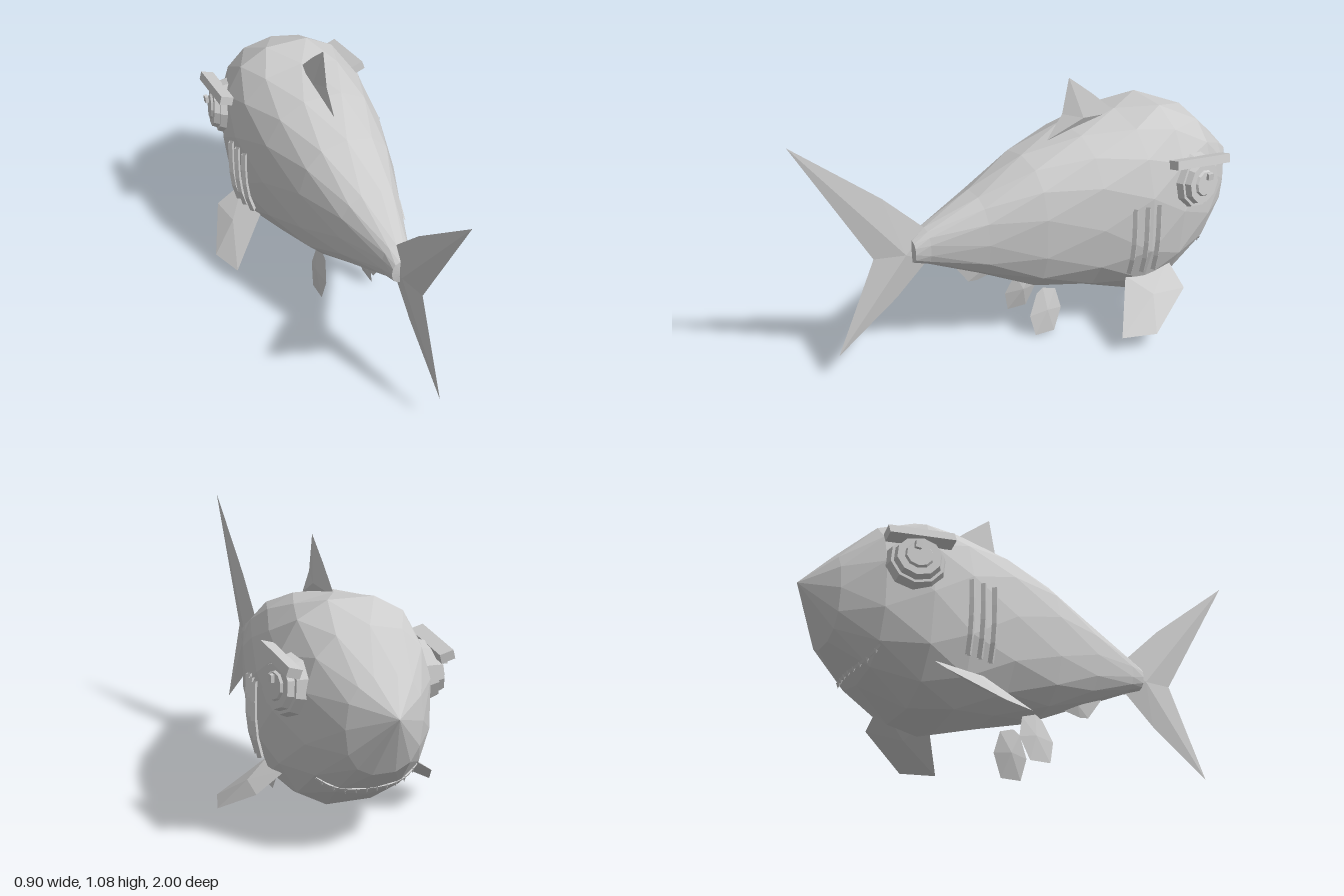
import * as THREE from 'three';

// Body stations: z, top y, bottom y, half width
const STATIONS = [
  [-1, 0.58, 0.58, 0], [-0.88, 0.705, 0.34, 0.15], [-0.74, 0.85, 0.215, 0.25],
  [-0.57, 0.92, 0.115, 0.305], [-0.41, 0.9, 0.095, 0.315], [-0.2, 0.865, 0.165, 0.275],
  [0.03, 0.795, 0.225, 0.215], [0.25, 0.685, 0.335, 0.138], [0.47, 0.59, 0.435, 0.06],
  [0.53, 0.555, 0.455, 0.047], [0.535, 0.5, 0.5, 0],
];
const POWER = 2.5;
const SIDES = 14;

function sectionAt(z) {
  let i = 0;
  while (i < STATIONS.length - 2 && STATIONS[i + 1][0] < z) i++;
  const a = STATIONS[i], b = STATIONS[i + 1], t = (z - a[0]) / (b[0] - a[0]);
  const [top, bottom, w] = [1, 2, 3].map((k) => a[k] + (b[k] - a[k]) * t);
  return { cy: (top + bottom) / 2, h: (top - bottom) / 2, w };
}
const other = (u) => Math.pow(Math.max(0, 1 - Math.pow(Math.abs(u), POWER)), 1 / POWER);
// Points on the flank and on the underside of the body
const flankX = (y, z) => { const s = sectionAt(z); return s.w * other((y - s.cy) / s.h); };
const bellyY = (x, z) => { const s = sectionAt(z); return s.cy - s.h * other(x / s.w); };

function geometryFrom(points) {
  const g = new THREE.BufferGeometry().setFromPoints(points);
  g.computeVertexNormals();
  return g;
}

// Faceted body: rings turned by half a step against each other
function bodyGeometry() {
  const curve = (v) => Math.sign(v) * Math.pow(Math.abs(v), 2 / POWER);
  const point = (i, j) => {
    const z = STATIONS[i][0], s = sectionAt(z);
    const a = ((j + 0.5 * (i % 2)) / SIDES) * Math.PI * 2 + Math.PI / 2;
    return new THREE.Vector3(s.w * curve(Math.cos(a)), s.cy + s.h * curve(Math.sin(a)), z);
  };
  const tris = [];
  for (let i = 0; i < STATIONS.length - 1; i++) {
    for (let j = 0; j < SIDES; j++) {
      const a = point(i, j), a1 = point(i, j + 1), b = point(i + 1, j), b1 = point(i + 1, j + 1);
      if (i % 2 === 0) tris.push(a, a1, b, a1, b1, b);
      else tris.push(a, a1, b1, a, b1, b);
    }
  }
  return geometryFrom(tris);
}

// Blade with sharp rim, thickest at its centre
function finGeometry(outline, centre, normal, thickness) {
  const pts = outline.map((p) => new THREE.Vector3(...p));
  const n = new THREE.Vector3(...normal).normalize().multiplyScalar(thickness);
  const c = new THREE.Vector3(...centre);
  const front = c.clone().add(n), back = c.clone().sub(n);
  const tris = [];
  pts.forEach((p, i) => {
    const q = pts[(i + 1) % pts.length];
    tris.push(front, p, q, back, q, p);
  });
  return geometryFrom(tris);
}

export function createModel() {
  const model = new THREE.Group();
  model.name = 'shark';
  const grey = new THREE.MeshStandardMaterial({ color: 0xcccccc, flatShading: true, side: THREE.DoubleSide });
  grey.name = 'light grey';

  const add = (parent, name, geometry) => {
    const mesh = new THREE.Mesh(geometry, grey);
    mesh.name = name;
    parent.add(mesh);
    return mesh;
  };
  // Fin on the centre line, outline given as z, y
  const middleFin = (name, outline, centre, thickness) => add(model, name, finGeometry(
    outline.map(([z, y]) => [0, y, z]), [0, centre[1], centre[0]], [1, 0, 0], thickness));

  add(model, 'body', bodyGeometry());
  middleFin('dorsalFin', [[-0.42, 0.88], [-0.3, 0.99], [-0.19, 1.08], [-0.16, 0.93], [-0.09, 0.83]], [-0.25, 0.9], 0.02);
  middleFin('tailFin', [[0.46, 0.58], [0.64, 0.76], [1, 1.06], [0.69, 0.51], [0.86, 0.12], [0.6, 0.31], [0.46, 0.44]],
    [0.56, 0.5], 0.02);
  middleFin('analFin', [[0.1, 0.31], [0.24, 0.28], [0.28, 0.285], [0.36, 0.4], [0.15, 0.36]], [0.22, 0.33], 0.015);

  // Everything that comes in pairs, built on +x and mirrored
  for (const side of [1, -1]) {
    const half = new THREE.Group();
    half.name = side > 0 ? 'leftSide' : 'rightSide';
    half.scale.x = side;
    model.add(half);

    add(half, 'pectoralFin', finGeometry(
      [[0.24, 0.27, -0.54], [0.36, 0.19, -0.545], [0.45, 0.075, -0.35], [0.405, 0.075, -0.21], [0.24, 0.25, -0.33]],
      [0.33, 0.18, -0.4], [0.7, 0.72, 0], 0.022));
    add(half, 'pelvicFin', finGeometry(
      [[0.09, 0.21, -0.02], [0.09, 0.19, -0.08], [0.105, 0.1, -0.1], [0.118, 0.005, -0.06],
        [0.118, 0.008, 0.03], [0.105, 0.1, 0.05], [0.09, 0.19, 0.01]],
      [0.1, 0.11, -0.03], [1, 0.12, 0], 0.015));

    // Eye: stacked discs facing outward and slightly forward
    const eye = new THREE.Group();
    eye.name = 'eye';
    eye.position.set(0.27, 0.63, -0.635);
    eye.quaternion.setFromUnitVectors(new THREE.Vector3(0, 1, 0), new THREE.Vector3(1, 0.12, -0.22).normalize());
    half.add(eye);
    [['eyeRim', 0.105, 0.122, 0.05, 0.005], ['eyeball', 0.085, 0.095, 0.03, 0.04], ['pupil', 0.05, 0.058, 0.012, 0.058]]
      .forEach(([name, top, bottom, height, y]) => {
        add(eye, name, new THREE.CylinderGeometry(top, bottom, height, 10)).position.y = y;
      });
    const glint = add(half, 'eyeGlint', new THREE.BoxGeometry(0.014, 0.028, 0.025));
    glint.position.set(0.34, 0.67, -0.66);

    // Brow slants down toward the snout
    const brow = add(half, 'brow', new THREE.BoxGeometry(0.055, 0.036, 0.27));
    brow.position.set(0.3, 0.728, -0.635);
    brow.rotation.set(-0.12, 0.03, 0.3);

    // Gill ridges hug the flank
    [-0.32, -0.373, -0.425].forEach((z) => {
      const path = new THREE.CatmullRomCurve3([0.59, 0.5, 0.43, 0.36, 0.29]
        .map((y) => new THREE.Vector3(flankX(y, z) + 0.012, y, z)));
      add(half, 'gill', new THREE.TubeGeometry(path, 4, 0.013, 4));
    });
  }

  // Mouth line under the snout with small teeth
  const lip = [];
  for (let i = -4; i <= 4; i++) {
    const x = i * 0.05, z = -0.78 + x * x * 1.2;
    lip.push(new THREE.Vector3(x, bellyY(x, z) + 0.004, z));
  }
  const mouthPath = new THREE.CatmullRomCurve3(lip);
  add(model, 'mouth', new THREE.TubeGeometry(mouthPath, 16, 0.007, 4));
  for (let i = 0; i < 10; i++) {
    const tooth = add(model, 'tooth', new THREE.ConeGeometry(0.009, 0.022, 4));
    tooth.position.copy(mouthPath.getPoint((i + 0.5) / 10));
    tooth.position.y -= 0.008;
    tooth.rotation.x = Math.PI;
  }
  return model;
}
